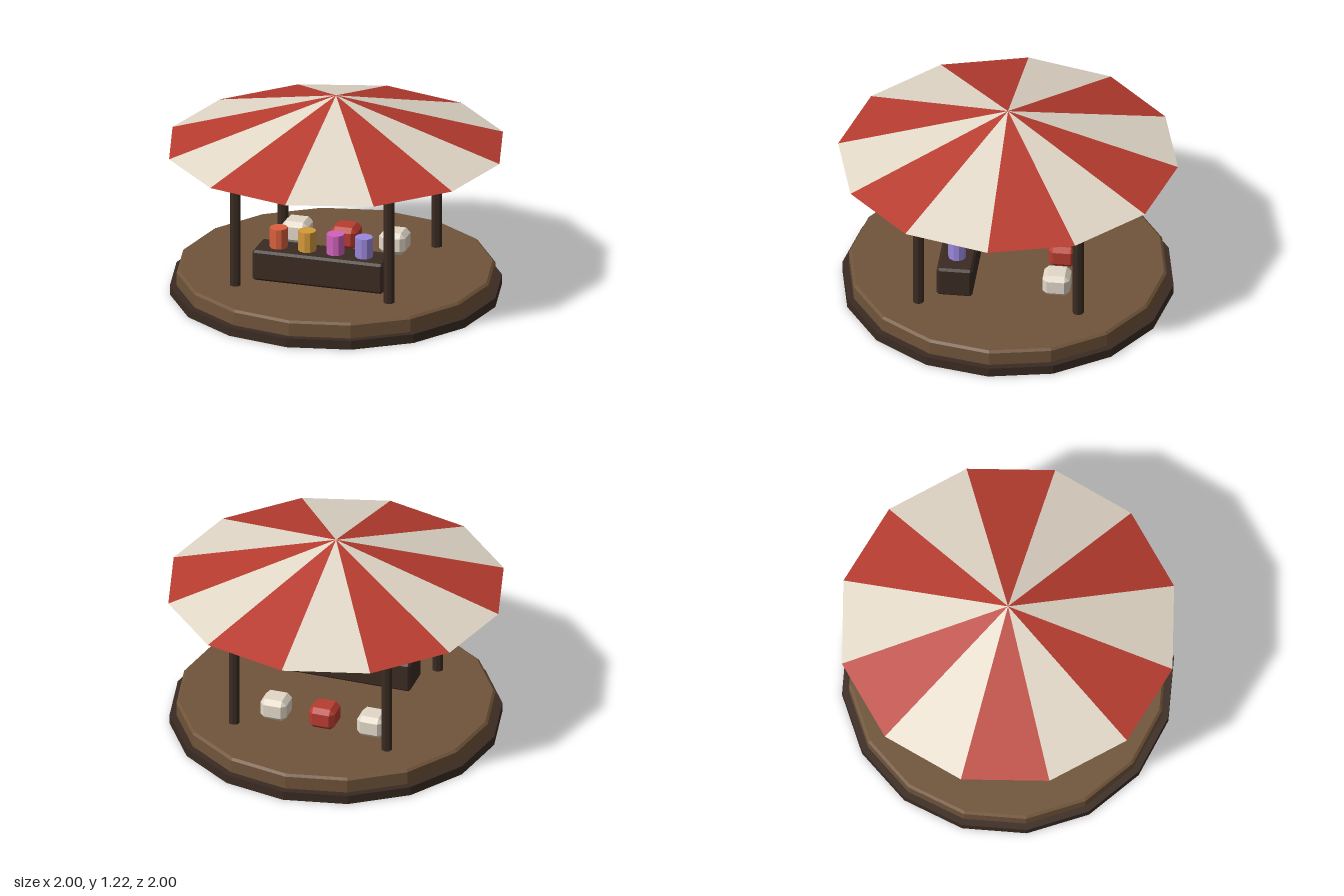
import * as THREE from 'three';
import { ConvexGeometry } from 'three/addons/geometries/ConvexGeometry.js';

const paint = (color, side = THREE.FrontSide) =>
  new THREE.MeshStandardMaterial({ color, side, flatShading: true });

const RED = paint(0xb83c30);
const CREAM = paint(0xe2d8c8);
const DARK_WOOD = paint(0x3a2b22);
const DECK_WOOD = paint(0x70543a);

// Box with flat chamfers along every edge
function chamferBox(w, h, d, c) {
  const points = [];
  for (const x of [-w / 2, w / 2])
    for (const y of [-h / 2, h / 2])
      for (const z of [-d / 2, d / 2]) {
        const ix = x - Math.sign(x) * c, iy = y - Math.sign(y) * c, iz = z - Math.sign(z) * c;
        points.push(new THREE.Vector3(x, iy, iz), new THREE.Vector3(ix, y, iz), new THREE.Vector3(ix, iy, z));
      }
  return new ConvexGeometry(points);
}

// Sixteen-sided disc turned from a profile of [radius, height]
const disc = (profile) =>
  new THREE.LatheGeometry(profile.map(([r, y]) => new THREE.Vector2(r, y)), 16);

export function createModel() {
  const model = new THREE.Group();
  const add = (name, geometry, material, x = 0, y = 0, z = 0, parent = model) => {
    const mesh = new THREE.Mesh(geometry, material);
    mesh.name = name;
    mesh.position.set(x, y, z);
    parent.add(mesh);
    return mesh;
  };

  // Round base: dark plinth with a bevelled deck on top
  add('plinth', disc([[0, 0], [0.975, 0], [0.975, 0.055], [0, 0.055]]), DARK_WOOD);
  add('deck', disc([[0.935, 0.05], [0.935, 0.135], [0.92, 0.148], [0, 0.148]]), DECK_WOOD);

  // Four posts
  const post = new THREE.CylinderGeometry(0.033, 0.033, 0.81, 8);
  for (const x of [-0.47, 0.47])
    for (const z of [-0.47, 0.47]) add('post', post, DARK_WOOD, x, 0.55, z);

  // Open striped canopy, one panel per side
  const canopy = new THREE.Group();
  canopy.name = 'canopy';
  model.add(canopy);
  const stripes = [CREAM, RED].map((m) => paint(m.color, THREE.DoubleSide));
  const step = Math.PI / 6;
  for (let i = 0; i < 12; i++) {
    const panel = new THREE.ConeGeometry(1, 0.315, 1, 1, true, i * step, step);
    add('canopyPanel', panel, stripes[i % 2], 0, 1.0575, 0, canopy);
  }

  // Hanging lantern, with a point straight down
  const lantern = add('lantern', new THREE.IcosahedronGeometry(0.065, 0), paint(0xd9962e), 0, 0.914);
  lantern.rotation.z = -Math.atan2(2, 1 + Math.sqrt(5));
  add('lanternCord', new THREE.CylinderGeometry(0.006, 0.006, 0.18, 6), paint(0x2a2220), 0, 1.05);

  // Counter with a row of coloured jars
  add('counter', chamferBox(0.8, 0.187, 0.21, 0.014), DARK_WOOD, 0, 0.2415, 0.268);
  const jar = new THREE.CylinderGeometry(0.053, 0.053, 0.122, 10);
  [0xd9603c, 0xd59a3a, 0xd062bc, 0x9a88dc].forEach((color, i) =>
    add('jar', jar, paint(color), -0.267 + i * 0.174, 0.396, 0.268));

  // Three cushions behind the counter
  const cushion = chamferBox(0.16, 0.134, 0.16, 0.028);
  [CREAM, RED, CREAM].forEach((material, i) =>
    add('cushion', cushion, material, -0.335 + i * 0.298, 0.215, -0.32));

  return model;
}
